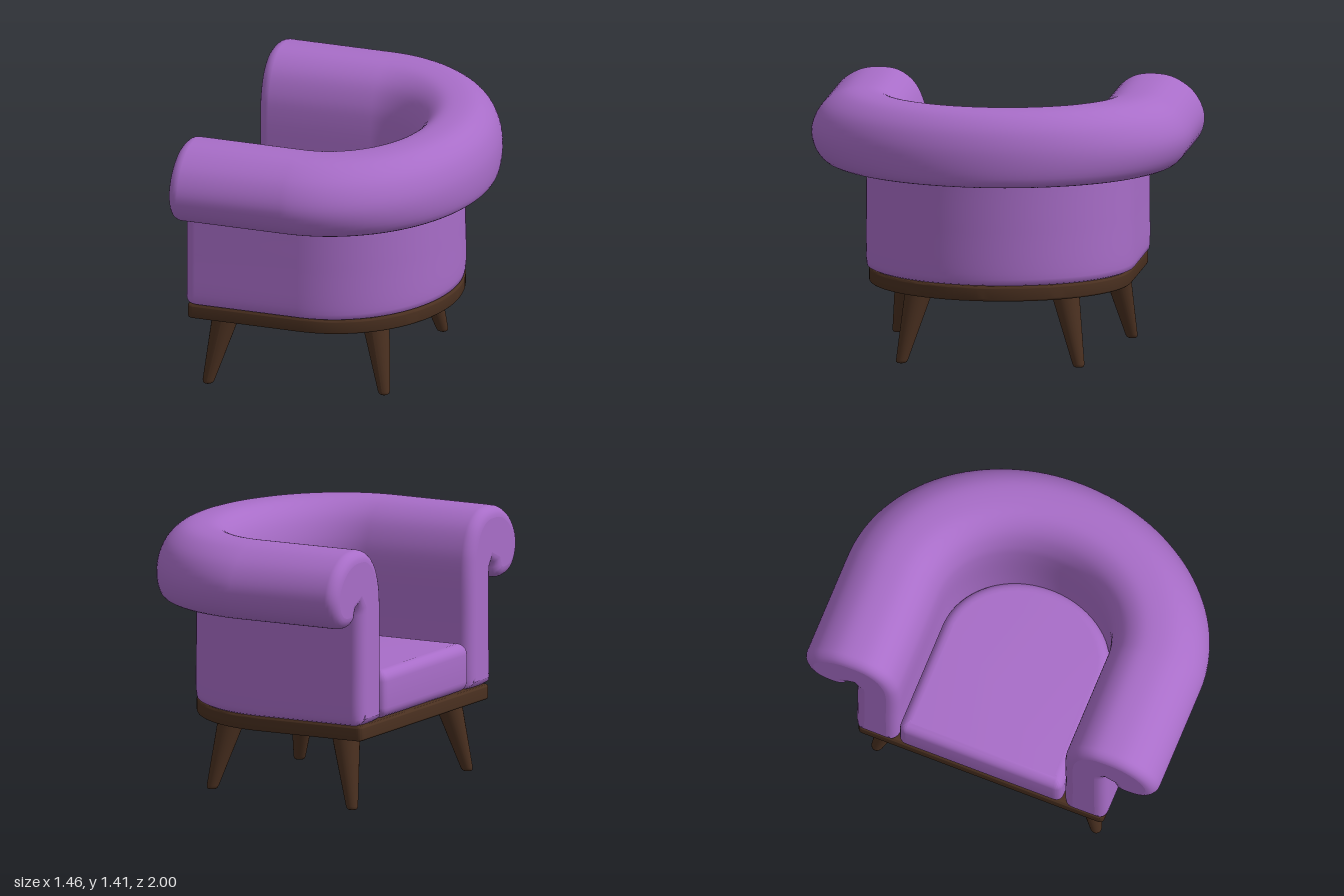
import * as THREE from 'three';
import { toCreasedNormals } from 'three/addons/utils/BufferGeometryUtils.js';

const FRONT = -0.73; // open side of the seat
const CX = -0.1; // where the straight arms turn into the curved back

// Scrolled section: [radius at the back, radius at the arms, height]
const SECTION = [
  [0.42, 0.50, 0.46], [0.395, 0.475, 0.468], [0.39, 0.47, 0.5], [0.39, 0.47, 0.8],
  [0.39, 0.47, 1.1], [0.40, 0.485, 1.21], [0.44, 0.535, 1.32], [0.51, 0.62, 1.388],
  [0.61, 0.73, 1.405], [0.71, 0.84, 1.385], [0.785, 0.94, 1.315], [0.82, 0.99, 1.23],
  [0.83, 1.0, 1.16], [0.828, 0.975, 1.08], [0.815, 0.93, 1.03], [0.78, 0.87, 1.01],
  [0.72, 0.80, 1.012], [0.69, 0.757, 1.04], [0.68, 0.74, 1.09], [0.667, 0.725, 1.11],
  [0.654, 0.713, 1.09], [0.65, 0.71, 1.03], [0.65, 0.71, 0.75], [0.65, 0.71, 0.5],
  [0.645, 0.705, 0.468], [0.62, 0.68, 0.46],
];

// Sweeps the section around the U, with rounded and capped arm fronts
function scrollGeometry(r = 0.06, n = 110, arc = 64) {
  const curve = new THREE.CatmullRomCurve3(SECTION.map(p => new THREE.Vector3(...p)), true, 'centripetal');
  const pts = curve.getSpacedPoints(n).slice(0, n);
  const normals = pts.map((p, j) => {
    const q = pts[(j + 1) % n], o = pts[(j + n - 1) % n];
    return new THREE.Vector2(o.z - q.z, q.y - o.y).normalize();
  });
  const pos = [], idx = [];
  let rings = 0;
  const endRing = (k, side) => {
    const phi = (k / 6) * Math.PI / 2, inset = r * (1 - Math.cos(phi));
    pts.forEach((p, j) => pos.push(FRONT + r * (1 - Math.sin(phi)),
      p.z - normals[j].y * inset, side * (p.y - normals[j].x * inset)));
    rings++;
  };
  for (let k = 6; k >= 0; k--) endRing(k, 1);
  for (let i = 0; i <= arc; i++) {
    const t = Math.PI * (0.5 - i / arc);
    pts.forEach(p => pos.push(CX + p.x * Math.cos(t), p.z, p.y * Math.sin(t)));
    rings++;
  }
  for (let k = 0; k <= 6; k++) endRing(k, -1);
  for (let i = 0; i < rings - 1; i++) {
    for (let j = 0; j < n; j++) {
      const a = i * n + j, b = i * n + (j + 1) % n;
      idx.push(a, b, a + n, b, b + n, a + n);
    }
  }
  // flat caps with their own vertices
  for (const [ring, flip] of [[0, false], [rings - 1, true]]) {
    const base = pos.length / 3, contour = [];
    for (let j = n - 1; j >= 0; j--) {
      const v = (ring * n + j) * 3;
      contour.push(new THREE.Vector2(Math.abs(pos[v + 2]), pos[v + 1]));
      pos.push(pos[v], pos[v + 1], pos[v + 2]);
    }
    for (const [a, b, c] of THREE.ShapeUtils.triangulateShape(contour, [])) {
      idx.push(base + a, base + (flip ? c : b), base + (flip ? b : c));
    }
  }
  const geo = new THREE.BufferGeometry();
  geo.setAttribute('position', new THREE.Float32BufferAttribute(pos, 3));
  geo.setIndex(idx);
  geo.computeVertexNormals();
  return geo;
}

// D-shaped slab with rounded edges, from height y0 to y1
function slabGeometry(x0, a, b, corner, y0, y1, bevel) {
  const s = new THREE.Shape();
  s.moveTo(x0 + corner, -b);
  s.lineTo(CX, -b);
  s.absellipse(CX, 0, a, b, -Math.PI / 2, Math.PI / 2, false, 0);
  s.lineTo(x0 + corner, b);
  s.quadraticCurveTo(x0, b, x0, b - corner);
  s.lineTo(x0, corner - b);
  s.quadraticCurveTo(x0, -b, x0 + corner, -b);
  const geo = new THREE.ExtrudeGeometry(s, {
    depth: y1 - y0 - 2 * bevel, bevelSize: bevel, bevelThickness: bevel,
    bevelOffset: -bevel, bevelSegments: 6, curveSegments: 28,
  });
  geo.rotateX(-Math.PI / 2).translate(0, y0 + bevel, 0);
  return toCreasedNormals(geo, 0.8);
}

// Tapered round leg whose axis leans from the top point to the foot point
function legGeometry(top, foot, height) {
  const profile = [[0, 0], [0.02, 0], [0.028, 0.005], [0.032, 0.018], [0.076, height]]
    .map(p => new THREE.Vector2(...p));
  const geo = new THREE.LatheGeometry(profile, 24);
  const p = geo.attributes.position;
  for (let i = 0; i < p.count; i++) {
    const t = p.getY(i) / height;
    p.setX(i, p.getX(i) + THREE.MathUtils.lerp(foot[0], top[0], t));
    p.setZ(i, p.getZ(i) + THREE.MathUtils.lerp(foot[1], top[1], t));
  }
  geo.computeVertexNormals();
  return geo;
}

export function createModel() {
  const fabric = new THREE.MeshStandardMaterial({ color: 0xa86dc8 });
  fabric.name = 'purple fabric';
  const wood = new THREE.MeshStandardMaterial({ color: 0x4a3020 });
  wood.name = 'dark wood';

  const group = new THREE.Group();
  group.name = 'tubArmchair';
  const add = (name, geo, mat) => {
    const mesh = new THREE.Mesh(geo, mat);
    mesh.name = name;
    group.add(mesh);
  };

  add('scrolledBackAndArms', scrollGeometry(), fabric);
  add('seatCushion', slabGeometry(FRONT, 0.4, 0.462, 0.05, 0.46, 0.72, 0.06), fabric);
  add('basePlate', slabGeometry(-0.72, 0.65, 0.695, 0.03, 0.38, 0.462, 0.015), wood);

  // splayed legs, mirrored across the seat
  for (const side of [1, -1]) {
    add('frontLeg', legGeometry([-0.545, side * 0.545], [-0.627, side * 0.622], 0.39), wood);
    add('backLeg', legGeometry([0.222, side * 0.385], [0.302, side * 0.472], 0.39), wood);
  }
  return group;
}
